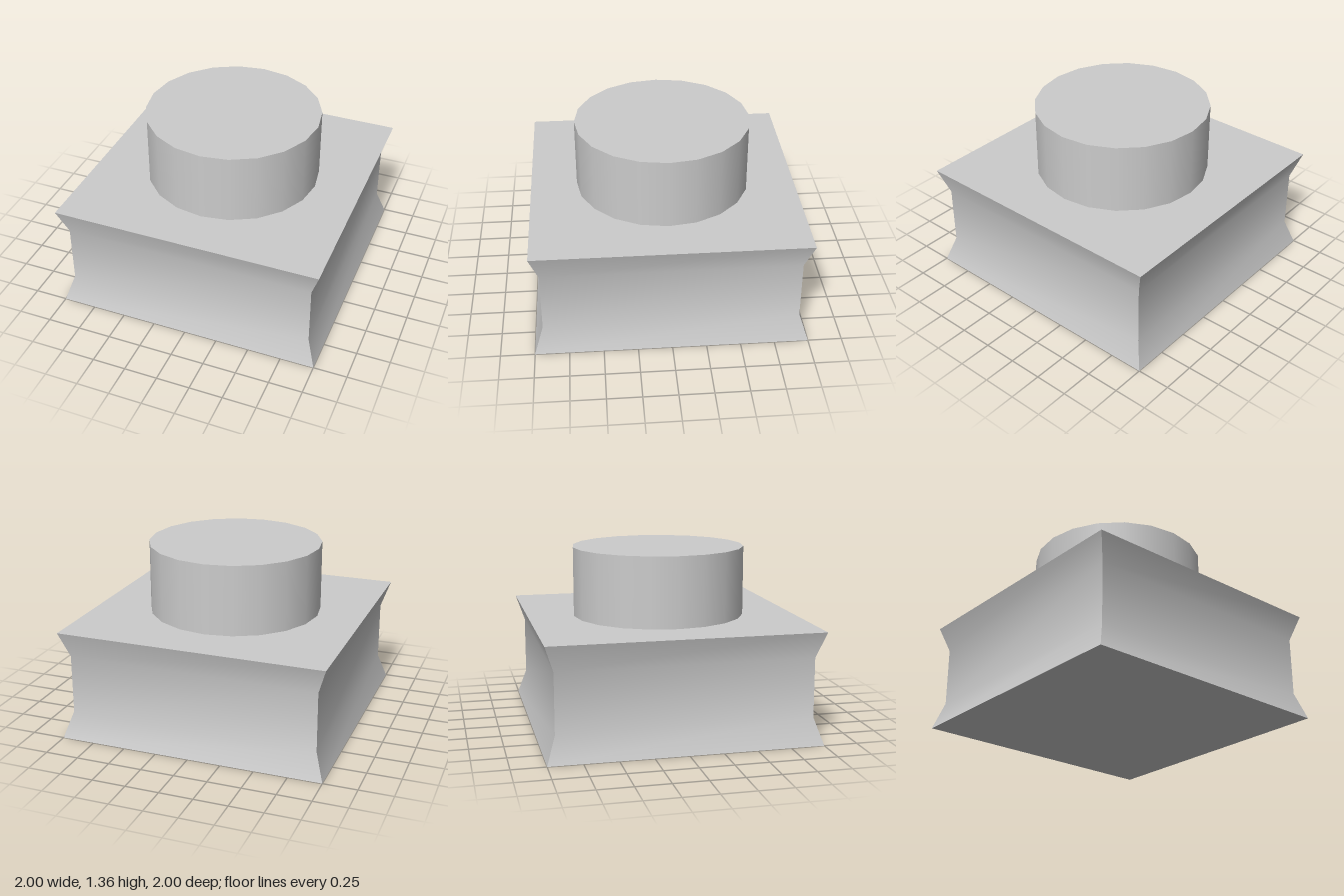
import * as THREE from 'three';
import { toCreasedNormals } from 'three/addons/utils/BufferGeometryUtils.js';

const BASE_TOP = 0.834;
const STUD_TOP = 1.358;

// [height, half width] of the square base, bottom to top
const BASE_PROFILE = [[0, 1], [0.198, 0.935], [0.64, 0.935], [BASE_TOP, 1]];

export function createModel() {
  const group = new THREE.Group();
  const material = new THREE.MeshStandardMaterial({ color: 0xcccccc });

  // Square base with a pinched waist: each ring of a box takes a profile row
  const box = new THREE.BoxGeometry(2, 3, 2, 1, 3, 1);
  const pos = box.attributes.position;
  for (let i = 0; i < pos.count; i++) {
    const [y, half] = BASE_PROFILE[Math.round(pos.getY(i) + 1.5)];
    pos.setXYZ(i, Math.sign(pos.getX(i)) * half, y, Math.sign(pos.getZ(i)) * half);
  }
  const base = new THREE.Mesh(toCreasedNormals(box, Math.PI / 4), material);
  base.name = 'base';
  group.add(base);

  // Round stud on top
  const height = STUD_TOP - BASE_TOP;
  const stud = new THREE.Mesh(new THREE.CylinderGeometry(0.653, 0.653, height, 20), material);
  stud.position.y = BASE_TOP + height / 2;
  stud.name = 'stud';
  group.add(stud);

  return group;
}
